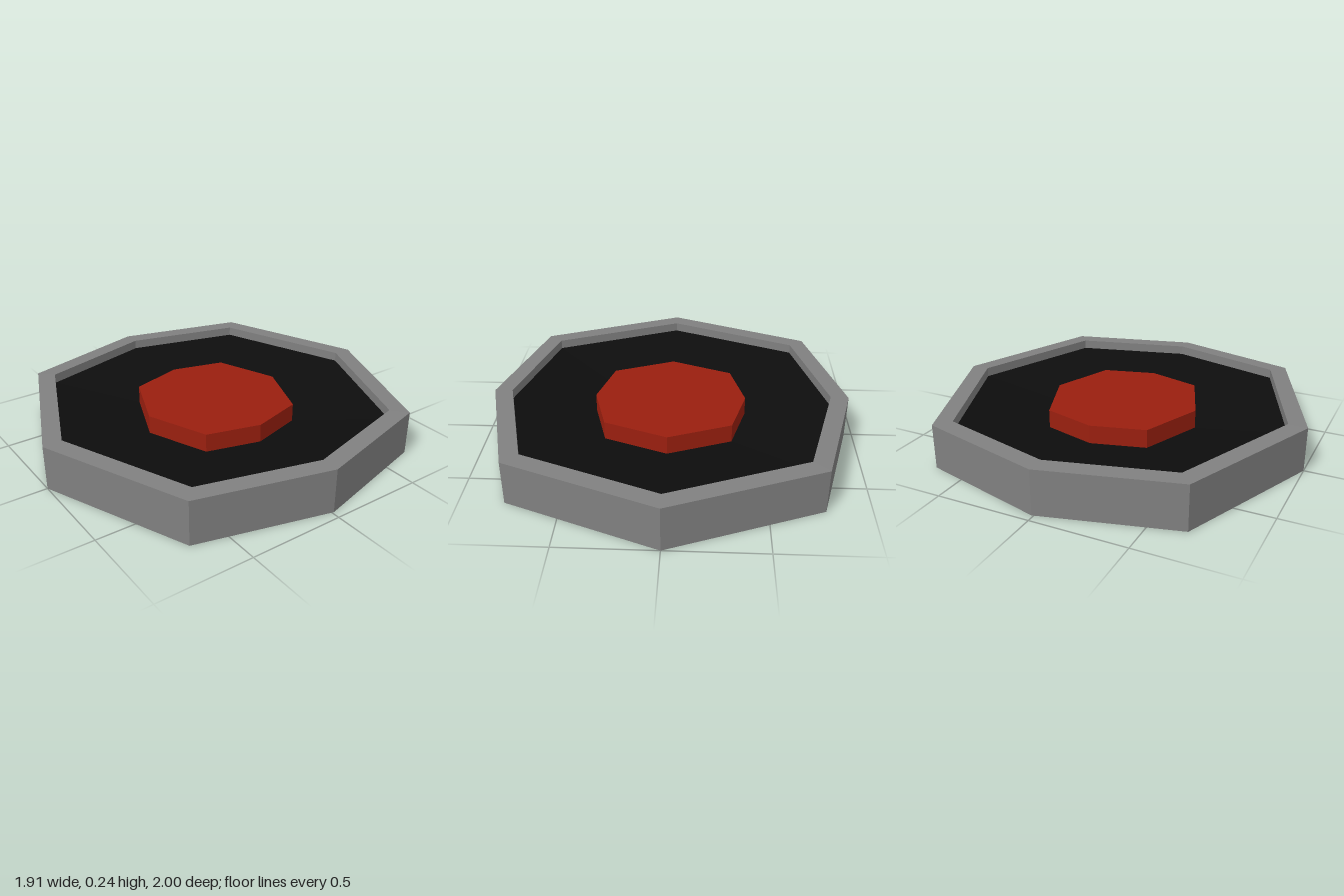
import * as THREE from 'three';

// Eight-sided plan, listed counter-clockwise seen from above
const PLAN = [
  [0, 1], [0.775, 0.68], [0.957, -0.01], [0.775, -0.69],
  [0, -1], [-0.775, -0.69], [-0.957, -0.01], [-0.775, 0.68],
];

// Joins scaled copies of the plan, [scaleX, scaleZ, y] each, into a faceted skin.
// Rings run outward-then-up, so faces point out of the solid; scale 0 closes a cap.
function loft(name, rings, color) {
  const pos = [];
  const point = ([sx, sz, y], i) => {
    const [x, z] = PLAN[i % PLAN.length];
    return [x * sx, y, z * sz];
  };
  for (let r = 0; r < rings.length - 1; r++) {
    const lo = rings[r], hi = rings[r + 1];
    for (let i = 0; i < PLAN.length; i++) {
      const a = point(lo, i), b = point(lo, i + 1);
      const c = point(hi, i + 1), d = point(hi, i);
      if (lo[0] > 0) pos.push(...a, ...b, ...c);
      if (hi[0] > 0) pos.push(...a, ...c, ...d);
    }
  }
  const geometry = new THREE.BufferGeometry();
  geometry.setAttribute('position', new THREE.Float32BufferAttribute(pos, 3));
  geometry.computeVertexNormals();
  const mesh = new THREE.Mesh(geometry, new THREE.MeshStandardMaterial({ color, flatShading: true }));
  mesh.name = name;
  return mesh;
}

export function createModel() {
  const model = new THREE.Group();
  model.name = 'octagonalButtonPlate';

  // Grey casing: underside, outer wall, rim and shallow inner wall
  model.add(loft('casing', [
    [0, 0, 0], [1, 1, 0], [1, 1, 0.237], [0.9, 0.9, 0.24], [0.9, 0.9, 0.19],
  ], 0x808080));

  // Black dish sloping down from the rim to the button
  model.add(loft('dish', [
    [0.9, 0.9, 0.19], [0.42, 0.41, 0.12], [0, 0, 0.12],
  ], 0x0d0d0d));

  // Raised red button in the middle
  model.add(loft('button', [
    [0.423, 0.41, 0.12], [0.423, 0.41, 0.218], [0, 0, 0.218],
  ], 0x9a1f0f));

  return model;
}
